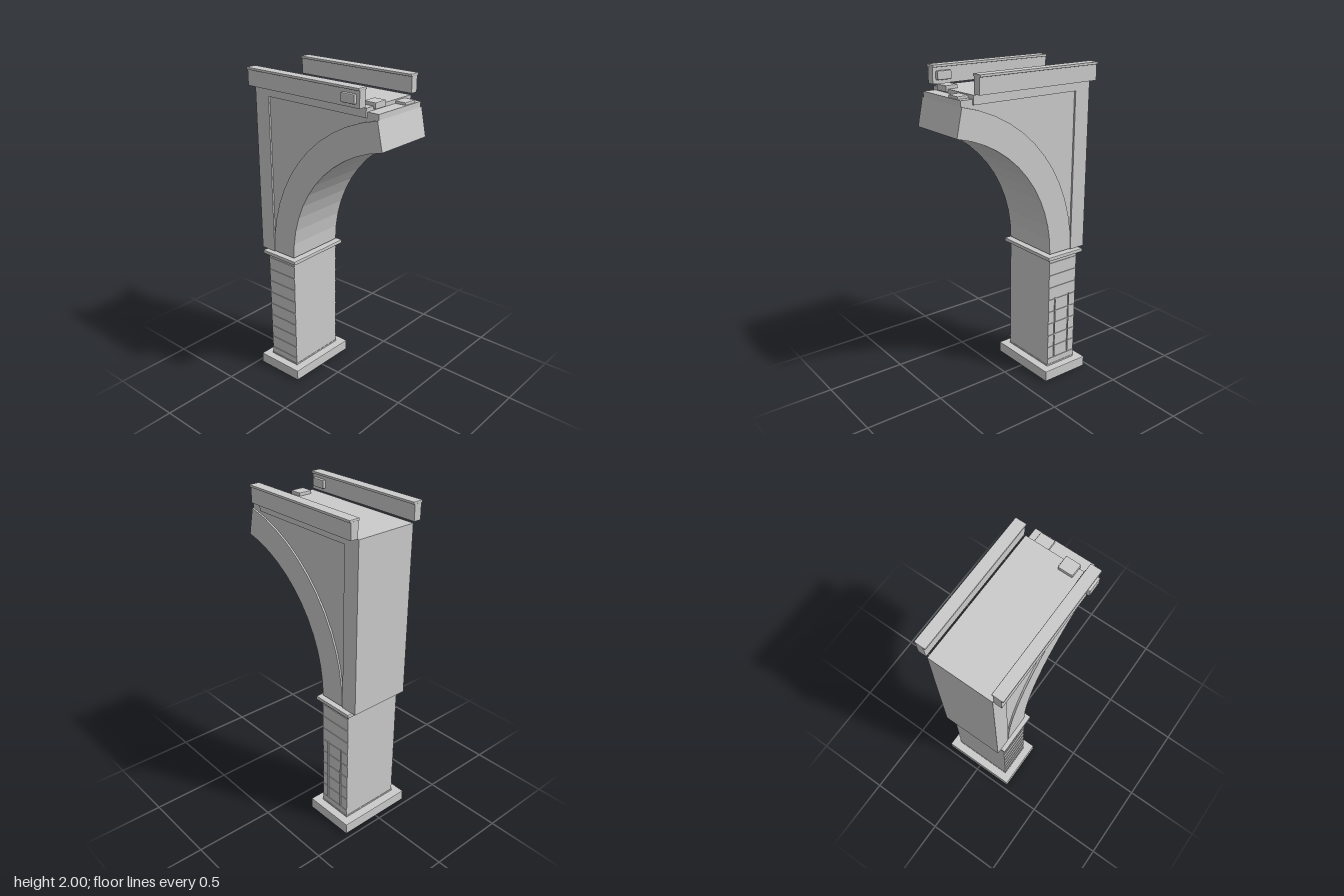
import * as THREE from 'three';
import { RoundedBoxGeometry } from 'three/addons/geometries/RoundedBoxGeometry.js';

const ZC = -0.006;  // middle plane of the bridge
const HALF = 0.195; // half its thickness
const material = new THREE.MeshStandardMaterial({ color: 0xcccccc, flatShading: true });

export function createModel() {
  const model = new THREE.Group();

  const add = (name, geometry) => {
    const mesh = new THREE.Mesh(geometry, material);
    mesh.name = name;
    model.add(mesh);
    return mesh;
  };

  // Box from its limits, with optional chamfered edges
  const box = (name, x0, x1, y0, y1, z0, z1, bevel = 0) => {
    const size = [x1 - x0, y1 - y0, z1 - z0];
    const geometry = bevel ? new RoundedBoxGeometry(...size, 1, bevel) : new THREE.BoxGeometry(...size);
    add(name, geometry).position.set((x0 + x1) / 2, (y0 + y1) / 2, (z0 + z1) / 2);
  };

  // Outline in the xy plane, extruded evenly about the middle plane
  const slab = (name, points, half) => {
    const geometry = new THREE.ExtrudeGeometry(new THREE.Shape(points), { depth: 2 * half, bevelEnabled: false });
    add(name, geometry).position.z = ZC - half;
  };

  // Points along the arch, from the springing to the cut end
  const arc = (radius, steps = 12) => Array.from({ length: steps + 1 }, (_, i) => {
    const a = THREE.MathUtils.degToRad(78 * i / steps);
    return new THREE.Vector2(0.638 - radius * Math.cos(a), 0.855 + radius * Math.sin(a));
  });

  // Pier with plinth and cap
  box('plinth', -0.47, -0.14, 0, 0.07, ZC - 0.247, ZC + 0.247, 0.005);
  box('pier', -0.415, -0.195, 0.065, 0.83, ZC - HALF, ZC + HALF);
  box('pierFoot', -0.417, -0.193, 0.07, 0.08, ZC - HALF - 0.002, ZC + HALF + 0.002);
  box('pierCap', -0.44, -0.165, 0.822, 0.846, ZC - 0.222, ZC + 0.222, 0.005);

  // Thin courses across the front and back of the pier
  for (const side of [-1, 1]) {
    for (let i = 0; i < 9; i++) {
      const y = 0.12 + i * 0.084;
      const z = ZC + side * HALF;
      box('courseLine', -0.415, -0.195, y - 0.003, y + 0.003, z - 0.004, z + 0.004);
    }
  }
  // Upright joints on the back of the pier
  for (const x of [-0.358, -0.245]) {
    box('uprightJoint', x - 0.003, x + 0.003, 0.13, 0.55, ZC - HALF - 0.007, ZC - HALF + 0.003);
  }

  // Arch ring and the recessed wall above it
  const outer = arc(1.0);
  slab('archRing', [...arc(0.833), ...outer.slice().reverse()], HALF);
  slab('spandrelWall', [
    ...outer,
    new THREE.Vector2(0.43, 1.865),
    new THREE.Vector2(-0.4, 1.865),
    new THREE.Vector2(-0.4, 0.855),
  ], HALF - 0.011);

  // Frame around the wall: end column and deck
  slab('frame', [
    [-0.47, 0.85], [-0.364, 0.85], [-0.364, 1.835], [0.355, 1.835], [0.355, 1.887], [-0.47, 1.887],
  ].map(([x, y]) => new THREE.Vector2(x, y)), HALF);

  // Parapet rails, each a web under a wider coping
  for (const side of [-1, 1]) {
    const z = ZC + side * 0.225;
    box('railWeb', -0.47, 0.355, 1.893, 1.988, z - 0.024, z + 0.024);
    box('railCoping', -0.47, 0.357, 1.985, 2, z - 0.034, z + 0.034, 0.004);
  }
  box('railPlate', 0.24, 0.335, 1.914, 1.966, 0.175, 0.262, 0.007);

  // Loose blocks at the broken end of the deck
  box('looseBlock', 0.29, 0.37, 1.87, 1.907, 0.04, 0.13, 0.005);
  box('looseBlock', 0.335, 0.422, 1.845, 1.88, -0.15, -0.06, 0.005);

  return model;
}
